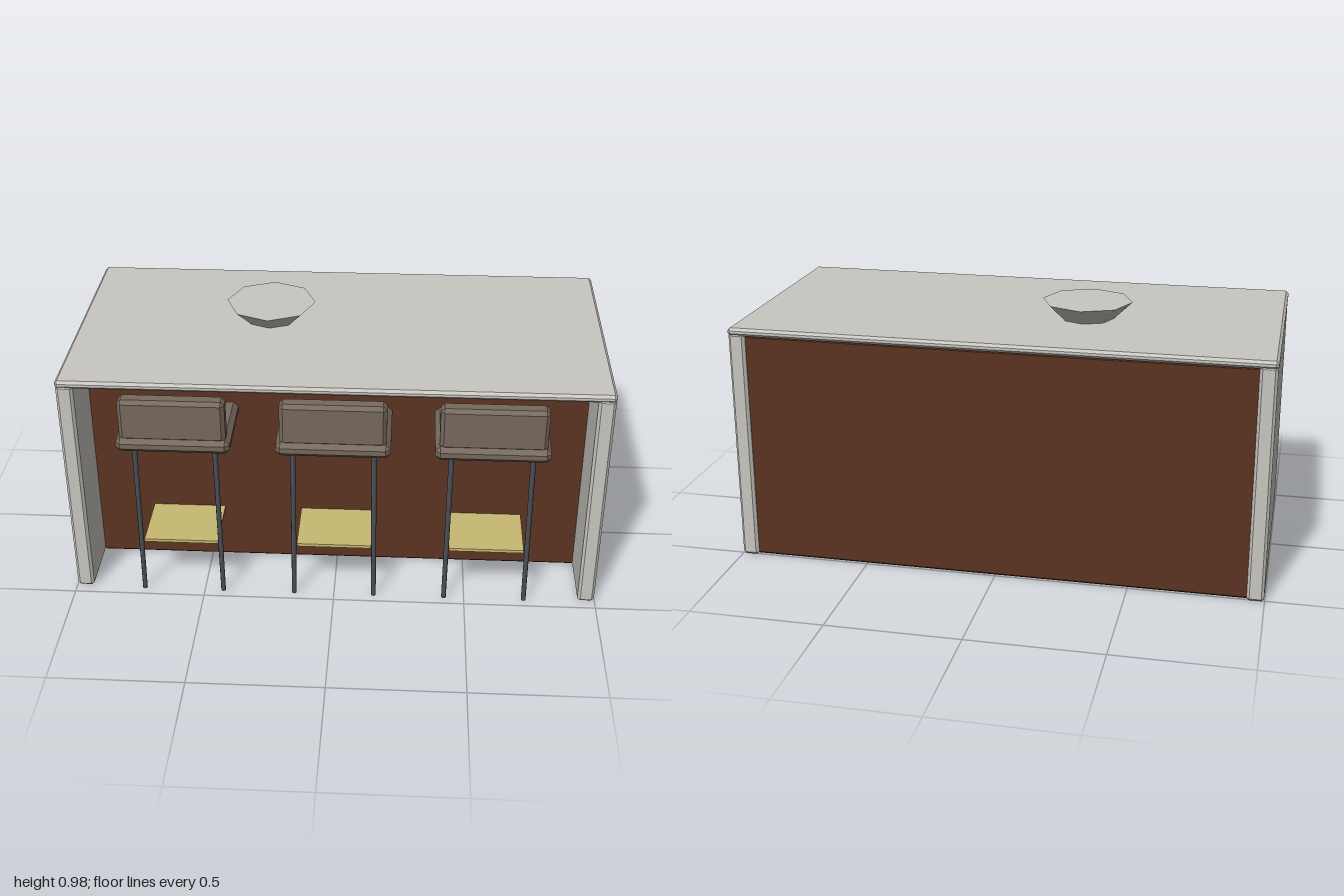
import * as THREE from 'three';
import { ConvexGeometry } from 'three/addons/geometries/ConvexGeometry.js';

const material = (name, color) => {
  const m = new THREE.MeshStandardMaterial({ color });
  m.name = name;
  return m;
};

// Box between two corners with all twelve edges chamfered by c
function chamferBox([x0, y0, z0], [x1, y1, z1], c) {
  const points = [];
  const centre = new THREE.Vector3((x0 + x1) / 2, (y0 + y1) / 2, (z0 + z1) / 2);
  const half = new THREE.Vector3((x1 - x0) / 2, (y1 - y0) / 2, (z1 - z0) / 2);
  for (const sx of [-1, 1]) for (const sy of [-1, 1]) for (const sz of [-1, 1]) {
    for (const full of [0, 1, 2]) {
      const inset = [c, c, c];
      inset[full] = 0;
      points.push(new THREE.Vector3(
        centre.x + sx * (half.x - inset[0]),
        centre.y + sy * (half.y - inset[1]),
        centre.z + sz * (half.z - inset[2])));
    }
  }
  return new ConvexGeometry(points);
}

export function createModel() {
  const model = new THREE.Group();
  model.name = 'kitchenIsland';
  const stone = material('stone', 0xc9c7c0);
  const wood = material('wood', 0x5c3422);
  const fabric = material('fabric', 0x776a5e);
  const metal = material('metal', 0x4b5158);
  const brass = material('brass', 0xc8ba72);

  const add = (parent, name, geometry, mat) => {
    const mesh = new THREE.Mesh(geometry, mat);
    mesh.name = name;
    parent.add(mesh);
    return mesh;
  };

  // Worktop and waterfall sides
  add(model, 'worktop', chamferBox([-1, 0.88, -0.515], [1, 0.91, 0.465], 0.01), stone);
  add(model, 'rightPanel', chamferBox([-0.998, 0, -0.513], [-0.935, 0.89, 0.463], 0.01), stone);
  add(model, 'leftPanel', chamferBox([0.935, 0, -0.513], [0.998, 0.89, 0.463], 0.01), stone);

  // Cabinet body, set back at the front to leave knee room
  add(model, 'cabinet', chamferBox([-0.945, 0.002, -0.5], [0.945, 0.882, 0.228], 0.008), wood);

  // Bowl on the worktop
  const bowl = add(model, 'bowl', new THREE.CylinderGeometry(0.17, 0.1, 0.067, 8), stone);
  bowl.position.set(-0.27, 0.9425, -0.092);

  // Bar stools, tucked under the worktop
  [-0.58, 0, 0.575].forEach((x, i) => {
    const stool = new THREE.Group();
    stool.name = `stool${i + 1}`;
    stool.position.x = x;
    model.add(stool);
    add(stool, 'seat', chamferBox([-0.208, 0.652, 0.12], [0.208, 0.708, 0.52], 0.018), fabric);
    add(stool, 'backrest', chamferBox([-0.193, 0.695, 0.44], [0.193, 0.86, 0.506], 0.014), fabric);
    add(stool, 'footrest', new THREE.BoxGeometry(0.28, 0.012, 0.28), brass)
      .position.set(0, 0.228, 0.325);
    for (const side of [-1, 1]) for (const [name, z] of [['frontLeg', 0.467], ['backLeg', 0.17]]) {
      const leg = add(stool, name, new THREE.CylinderGeometry(0.01, 0.009, 0.655, 8), metal);
      leg.position.set(side * 0.15, 0.3325, z);
      leg.rotation.z = side * 0.008;
    }
  });
  return model;
}
